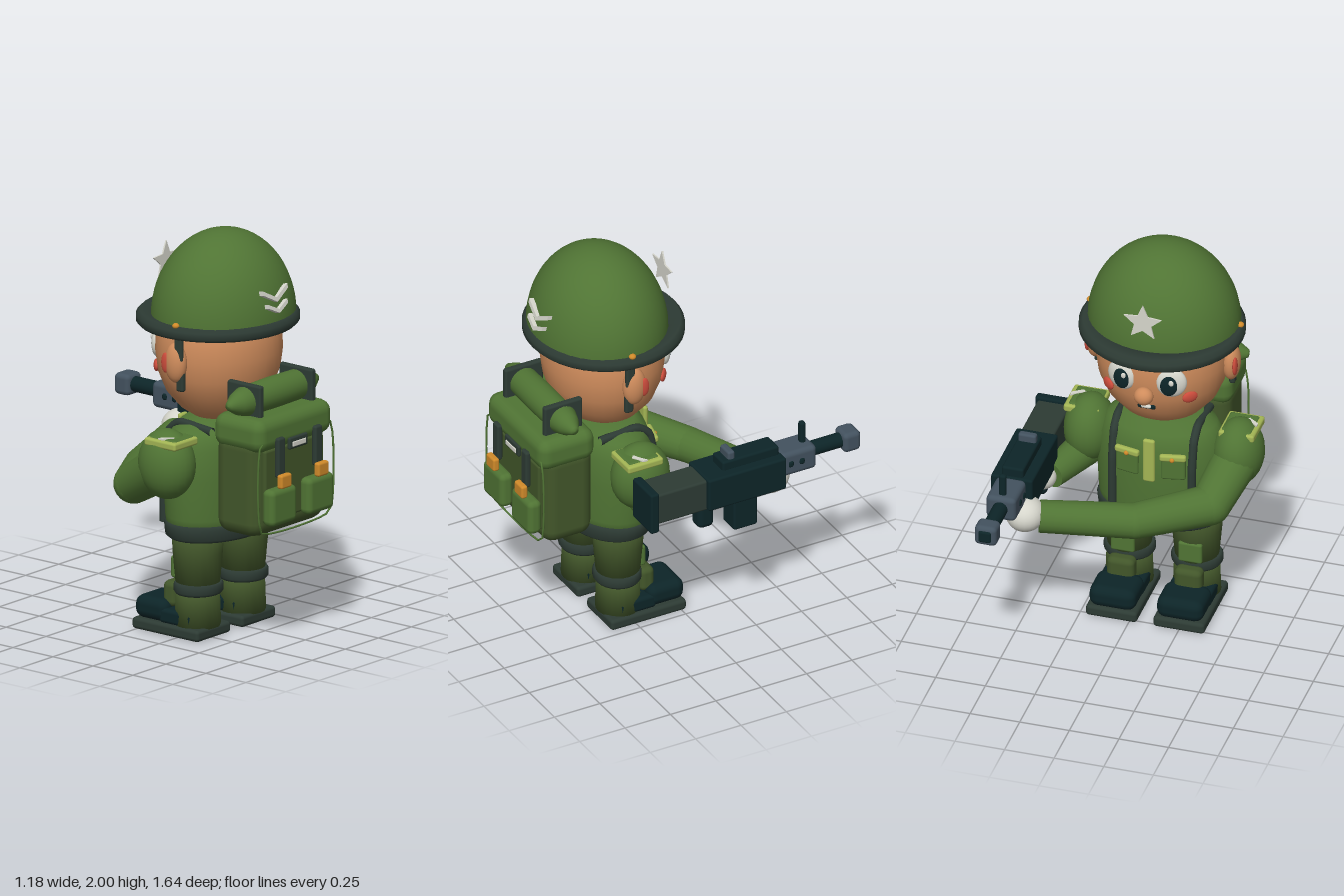
import * as THREE from 'three';
import { RoundedBoxGeometry } from 'three/addons/geometries/RoundedBoxGeometry.js';

const mat = (name, color) => {
  const m = new THREE.MeshStandardMaterial({ color, side: THREE.DoubleSide });
  m.name = name;
  return m;
};

export function createModel() {
  const M = {
    green: mat('uniform green', 0x507434), olive: mat('dark olive', 0x42562a),
    lime: mat('light khaki trim', 0xa3b554), dark: mat('dark webbing', 0x2d3b34),
    black: mat('gun black', 0x0d2528), slate: mat('slate metal', 0x43525f),
    skin: mat('skin', 0xcf8c5c), white: mat('off white', 0xd6d6cc),
    orange: mat('brass', 0xd08a2a), red: mat('red blush', 0xcc4c3c),
  };
  const root = new THREE.Group();
  root.name = 'toySoldier';
  const body = new THREE.Group();
  body.name = 'body';
  body.position.x = -0.08;
  root.add(body);
  const gun = new THREE.Group();
  gun.name = 'rifle';
  gun.position.x = 0.485;
  root.add(gun);

  // Helpers
  const add = (parent, name, geo, m, x = 0, y = 0, z = 0) => {
    const mesh = new THREE.Mesh(geo, m);
    mesh.name = name;
    mesh.position.set(x, y, z);
    parent.add(mesh);
    return mesh;
  };
  const box = (p, name, m, w, h, d, x, y, z, r = 0.012) =>
    add(p, name, new RoundedBoxGeometry(w, h, d, 2, Math.min(r, w / 2.1, h / 2.1, d / 2.1)), m, x, y, z);
  const ball = (p, name, m, rx, ry, rz, x, y, z) =>
    add(p, name, new THREE.SphereGeometry(1, 24, 16).scale(rx, ry, rz), m, x, y, z);
  const lathe = (p, name, m, pts, sx, sz, x, y, z, seg = 36) =>
    add(p, name, new THREE.LatheGeometry(pts.map(q => new THREE.Vector2(...q)), seg).scale(sx, 1, sz), m, x, y, z);
  const tube = (p, name, m, pts, r, closed = false) =>
    add(p, name, new THREE.TubeGeometry(new THREE.CatmullRomCurve3(
      pts.map(q => new THREE.Vector3(...q)), closed, 'catmullrom', 0.2), 32, r, 8, closed), m);
  // Sleeve of straight segments with ball joints
  const limb = (name, m, pts, radii) => {
    const g = new THREE.Group();
    g.name = name;
    root.add(g);
    const v = pts.map(q => new THREE.Vector3(...q));
    for (let i = 0; i < v.length - 1; i++) {
      const dir = v[i + 1].clone().sub(v[i]);
      const c = add(g, 'sleeve', new THREE.CylinderGeometry(radii[i + 1], radii[i], dir.length(), 18), m);
      c.position.copy(v[i]).addScaledVector(dir, 0.5);
      c.quaternion.setFromUnitVectors(new THREE.Vector3(0, 1, 0), dir.normalize());
      if (i) ball(g, 'elbow', m, radii[i], radii[i], radii[i], ...pts[i]);
    }
  };
  const chevron = (p, name, w, h, t, depth, x, y, z) => {
    const s = new THREE.Shape();
    [[-w, h], [0, 0], [w, h], [w, h - t], [0, -t], [-w, h - t]].forEach((q, i) => i ? s.lineTo(...q) : s.moveTo(...q));
    return add(p, name, new THREE.ExtrudeGeometry(s, { depth, bevelEnabled: false }), M.white, x, y, z);
  };

  // Helmet
  add(body, 'helmetDome', new THREE.SphereGeometry(1, 40, 16, 0, Math.PI * 2, 0, Math.PI / 2).scale(0.375, 0.43, 0.335),
    M.green, 0, 1.57, 0.305);
  lathe(body, 'helmetBrim', M.dark, [[0.28, 1.54], [0.39, 1.53], [0.405, 1.545], [0.405, 1.575], [0.385, 1.595], [0.28, 1.59], [0.28, 1.54]],
    1, 0.963, 0, 0, 0.27, 40);
  chevron(body, 'helmetChevron', 0.093, 0.05, 0.022, 0.025, 0, 1.71, 0.615).rotation.x = -0.25;
  chevron(body, 'helmetChevron', 0.072, 0.035, 0.02, 0.025, 0, 1.655, 0.63).rotation.x = -0.25;
  const star = new THREE.Shape();
  for (let i = 0; i < 10; i++) {
    const r = i % 2 ? 0.045 : 0.1, a = Math.PI / 2 + i * Math.PI / 5;
    star[i ? 'lineTo' : 'moveTo'](r * Math.cos(a), r * Math.sin(a));
  }
  add(body, 'helmetStar', new THREE.ExtrudeGeometry(star, { depth: 0.008, bevelEnabled: false }), M.white, 0, 1.775, -0.059);

  // Head and face
  lathe(body, 'head', M.skin, [[0, 1.07], [0.13, 1.075], [0.2, 1.12], [0.27, 1.2], [0.312, 1.3], [0.326, 1.4], [0.32, 1.5], [0.29, 1.58], [0, 1.6]],
    1, 0.91, 0, 0, 0.277);
  ball(body, 'nose', M.skin, 0.048, 0.046, 0.042, 0, 1.34, -0.04);
  box(body, 'mouth', M.black, 0.09, 0.025, 0.02, 0, 1.25, 0.012);
  box(body, 'teeth', M.white, 0.05, 0.018, 0.02, 0, 1.254, 0.004);
  for (const s of [-1, 1]) {
    ball(body, 'eye', M.white, 0.075, 0.08, 0.032, s * 0.125, 1.41, 0.012).rotation.y = -s * 0.25;
    ball(body, 'pupil', M.black, 0.042, 0.055, 0.012, s * 0.12, 1.405, -0.017).rotation.y = -s * 0.25;
    ball(body, 'eyeGlint', M.white, 0.013, 0.016, 0.006, s * 0.12 - 0.015, 1.43, -0.028);
    box(body, 'eyebrow', M.black, 0.1, 0.02, 0.02, s * 0.125, 1.51, 0);
    ball(body, 'cheek', M.red, 0.04, 0.03, 0.014, s * 0.205, 1.315, 0.055).rotation.y = -s * 0.7;
    ball(body, 'ear', M.skin, 0.045, 0.1, 0.06, s * 0.342, 1.4, 0.29);
    ball(body, 'innerEar', M.red, 0.012, 0.05, 0.025, s * 0.372, 1.4, 0.25);
    box(body, 'chinStrap', M.dark, 0.025, 0.13, 0.05, s * 0.355, 1.475, 0.32);
    box(body, 'chinStrap', M.dark, 0.03, 0.14, 0.045, s * 0.34, 1.33, 0.32);
    ball(body, 'helmetRivet', M.orange, 0.018, 0.014, 0.018, s * 0.378, 1.598, 0.32);
  }

  // Torso, belt and chest
  lathe(body, 'torso', M.green, [[0, 0.5], [0.3, 0.5], [0.315, 0.6], [0.325, 0.8], [0.315, 0.95], [0.27, 1.03], [0.2, 1.07], [0, 1.08]],
    1, 0.67, 0, 0, 0.275);
  lathe(body, 'belt', M.dark, [[0, 0.49], [0.3, 0.49], [0.32, 0.505], [0.326, 0.555], [0.315, 0.572], [0, 0.572]], 1, 0.67, 0, 0, 0.28);
  box(body, 'beltBuckle', M.orange, 0.12, 0.085, 0.035, 0, 0.535, 0.052);
  box(body, 'chestPlacket', M.lime, 0.06, 0.24, 0.025, 0, 0.91, 0.05);
  for (const s of [-1, 1]) {
    tube(body, 'suspender', M.dark, [[s * 0.2, 0.54, 0.1], [s * 0.2, 0.85, 0.1], [s * 0.2, 1, 0.13], [s * 0.2, 1.055, 0.2], [s * 0.2, 1.04, 0.4]], 0.022);
    box(body, 'chestPocket', M.green, 0.12, 0.12, 0.03, s * 0.115, 0.87, 0.075).rotation.y = -s * 0.2;
    box(body, 'pocketFlap', M.lime, 0.13, 0.035, 0.03, s * 0.115, 0.935, 0.066).rotation.y = -s * 0.2;
    ball(body, 'pocketButton', M.orange, 0.012, 0.012, 0.01, s * 0.115, 0.93, 0.05);
    // Shoulder and epaulet
    ball(body, 'shoulder', M.green, 0.125, 0.175, 0.15, s > 0 ? 0.365 : -0.385, 0.9, 0.27);
    box(body, 'epaulet', M.lime, 0.18, 0.04, 0.195, s * 0.39, 1.02, 0.3);
    box(body, 'epauletTop', M.green, 0.15, 0.04, 0.165, s * 0.385, 1.026, 0.3);
    const rank = chevron(body, 'epauletChevron', 0.05, 0.035, 0.025, 0.008, s * 0.42, 1.042, 0.32);
    rank.rotation.x = -Math.PI / 2;

    // Legs and boots
    const x = s * 0.17;
    lathe(body, 'trouserLeg', M.olive, [[0, 0.25], [0.107, 0.25], [0.122, 0.42], [0.128, 0.53], [0, 0.53]], 1, 1, x, 0, 0.285, 24);
    lathe(body, 'trouserCuff', M.dark, [[0, 0.215], [0.118, 0.215], [0.127, 0.228], [0.127, 0.258], [0.118, 0.27], [0, 0.27]], 1, 0.92, x, 0, 0.29, 24);
    lathe(body, 'gaiter', M.olive, [[0, 0.05], [0.118, 0.05], [0.112, 0.22], [0, 0.22]], 1, 0.92, x, 0, 0.285, 24);
    box(body, 'gaiterFlap', M.olive, 0.14, 0.13, 0.08, x, 0.19, 0.155, 0.03);
    box(body, 'kneePatch', M.green, 0.12, 0.11, 0.03, x, 0.33, 0.177);
    box(body, 'bootToe', M.black, 0.235, 0.115, 0.2, x, 0.11, 0.072, 0.045);
    box(body, 'bootHeel', M.black, 0.225, 0.075, 0.2, x, 0.09, 0.23, 0.02);
    box(body, 'bootSole', M.dark, 0.258, 0.058, 0.415, x, 0.029, 0.182, 0.018);
  }

  // Arms and hands
  limb('rightArm', M.green, [[-0.465, 0.88, 0.25], [-0.4, 0.74, 0.01], [-0.085, 0.72, -0.2], [0.35, 0.755, -0.345]], [0.115, 0.1, 0.088, 0.08]);
  limb('leftArm', M.green, [[0.305, 0.88, 0.27], [0.31, 0.775, 0.25], [0.4, 0.765, 0]], [0.1, 0.09, 0.07]);
  ball(root, 'rightHand', M.white, 0.095, 0.088, 0.098, 0.415, 0.775, -0.37);
  ball(root, 'leftHand', M.white, 0.07, 0.065, 0.065, 0.435, 0.765, -0.025);

  // Backpack
  box(body, 'packBody', M.olive, 0.55, 0.5, 0.27, 0, 0.82, 0.6, 0.07);
  box(body, 'packLid', M.green, 0.57, 0.17, 0.31, 0, 1.085, 0.613, 0.06);
  box(body, 'packPanel', M.olive, 0.44, 0.36, 0.04, 0, 0.83, 0.73);
  box(body, 'packLabel', M.dark, 0.14, 0.06, 0.02, 0, 1.02, 0.768);
  box(body, 'packLabelPlate', M.white, 0.1, 0.025, 0.008, 0, 1.015, 0.779);
  tube(body, 'packCord', M.green, [[-0.26, 0.61, 0.757], [0.26, 0.61, 0.757], [0.26, 1.06, 0.757], [-0.26, 1.06, 0.757]], 0.005, true);
  const roll = lathe(body, 'bedroll', M.green, [[0, -0.335], [0.02, -0.33], [0.055, -0.27], [0.074, -0.21], [0.078, 0],
    [0.074, 0.21], [0.055, 0.27], [0.02, 0.33], [0, 0.335]], 1, 1, 0, 1.235, 0.61, 24);
  roll.rotation.z = Math.PI / 2;
  for (const s of [-1, 1]) {
    box(body, 'bedrollStrap', M.dark, 0.034, 0.17, 0.21, s * 0.195, 1.24, 0.605);
    box(body, 'packStrap', M.dark, 0.055, 0.2, 0.03, s * 0.14, 0.97, 0.775);
    box(body, 'packPocket', M.green, 0.195, 0.185, 0.075, s * 0.14, 0.73, 0.772, 0.03);
    box(body, 'packBuckle', M.orange, 0.08, 0.07, 0.035, s * 0.14, 0.857, 0.802);
  }

  // Rifle, pointing to -z
  const gbox = (name, m, w, y0, y1, z0, z1, x = 0, r = 0.012) =>
    box(gun, name, m, w, y1 - y0, z1 - z0, x, (y0 + y1) / 2, (z0 + z1) / 2, r);
  gbox('buttPlate', M.black, 0.19, 0.75, 0.972, 0.325, 0.372);
  gbox('stock', M.dark, 0.165, 0.788, 0.955, 0.05, 0.335);
  gbox('receiver', M.black, 0.21, 0.79, 0.965, -0.37, 0.06);
  gbox('topRail', M.black, 0.11, 0.955, 1.012, -0.355, -0.045);
  gbox('rearSight', M.slate, 0.09, 1.0, 1.052, -0.118, -0.08);
  gbox('handguard', M.slate, 0.15, 0.835, 0.965, -0.555, -0.36, 0, 0.025);
  gbox('frontSight', M.black, 0.036, 0.95, 1.075, -0.525, -0.495);
  gbox('magazine', M.black, 0.115, 0.605, 0.8, -0.235, -0.105);
  gbox('grip', M.black, 0.09, 0.64, 0.8, -0.02, 0.07, -0.02, 0.03);
  for (const z of [-0.41, -0.47]) gbox('ventHole', M.black, 0.165, 0.885, 0.92, z - 0.015, z + 0.015);
  const barrel = add(gun, 'barrel', new THREE.CylinderGeometry(0.038, 0.038, 0.22, 16), M.black, 0, 0.905, -0.63);
  barrel.rotation.x = Math.PI / 2;
  gbox('muzzle', M.slate, 0.112, 0.85, 0.957, -0.81, -0.715, 0, 0.025);
  gbox('muzzleOpening', M.black, 0.065, 0.873, 0.937, -0.818, -0.79);

  return root;
}
